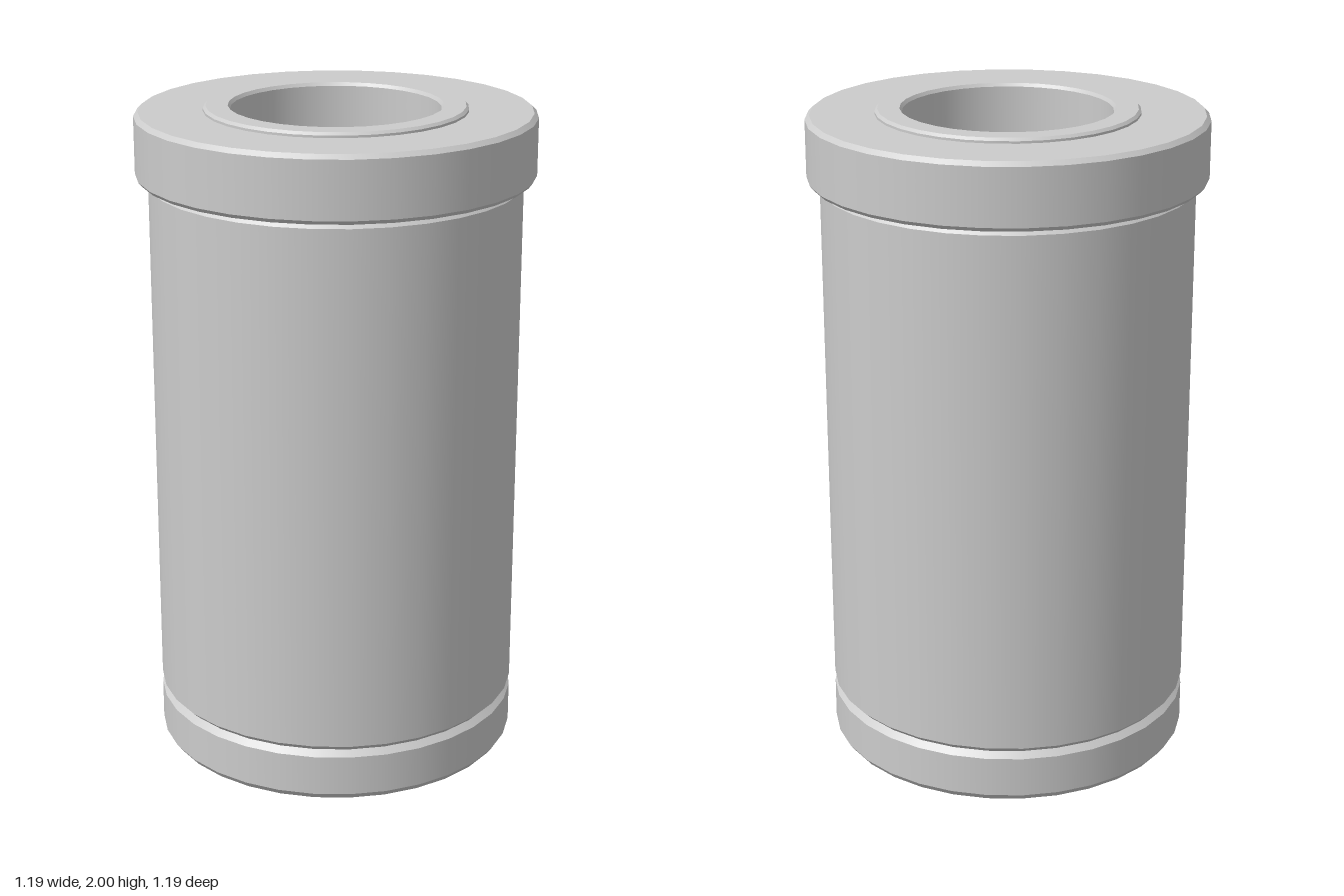
import * as THREE from 'three';
import { mergeGeometries } from 'three/addons/utils/BufferGeometryUtils.js';

const SIDES = 32;
const material = new THREE.MeshStandardMaterial({ color: 0xcccccc });

// Turned part: smooth around the axis, sharp at every profile corner
function turned(name, profile) {
  const bands = [];
  for (let i = 0; i < profile.length - 1; i++) {
    const pair = [profile[i], profile[i + 1]].map(([r, y]) => new THREE.Vector2(r, y));
    bands.push(new THREE.LatheGeometry(pair, SIDES));
  }
  const mesh = new THREE.Mesh(mergeGeometries(bands), material);
  mesh.name = name;
  return mesh;
}

export function createModel() {
  const group = new THREE.Group();
  group.name = 'flangedCylinder';

  // Bottom disc with chamfered rims
  group.add(turned('base', [
    [0, 0], [0.54, 0], [0.555, 0.02], [0.555, 0.144], [0.537, 0.162],
  ]));

  // Long barrel, chamfered towards the base groove and the collar
  group.add(turned('barrel', [
    [0.537, 0.162], [0.555, 0.18], [0.555, 1.77], [0.537, 1.79],
  ]));

  // Wide collar around the top
  group.add(turned('collar', [
    [0.537, 1.79], [0.583, 1.79], [0.593, 1.802], [0.593, 1.972],
    [0.58, 1.985], [0.39, 1.985],
  ]));

  // Raised lip and the blind bore inside it
  group.add(turned('lipAndBore', [
    [0.39, 1.985], [0.39, 1.992], [0.382, 2], [0.317, 2],
    [0.31, 1.99], [0.31, 1.79], [0, 1.79],
  ]));

  return group;
}
